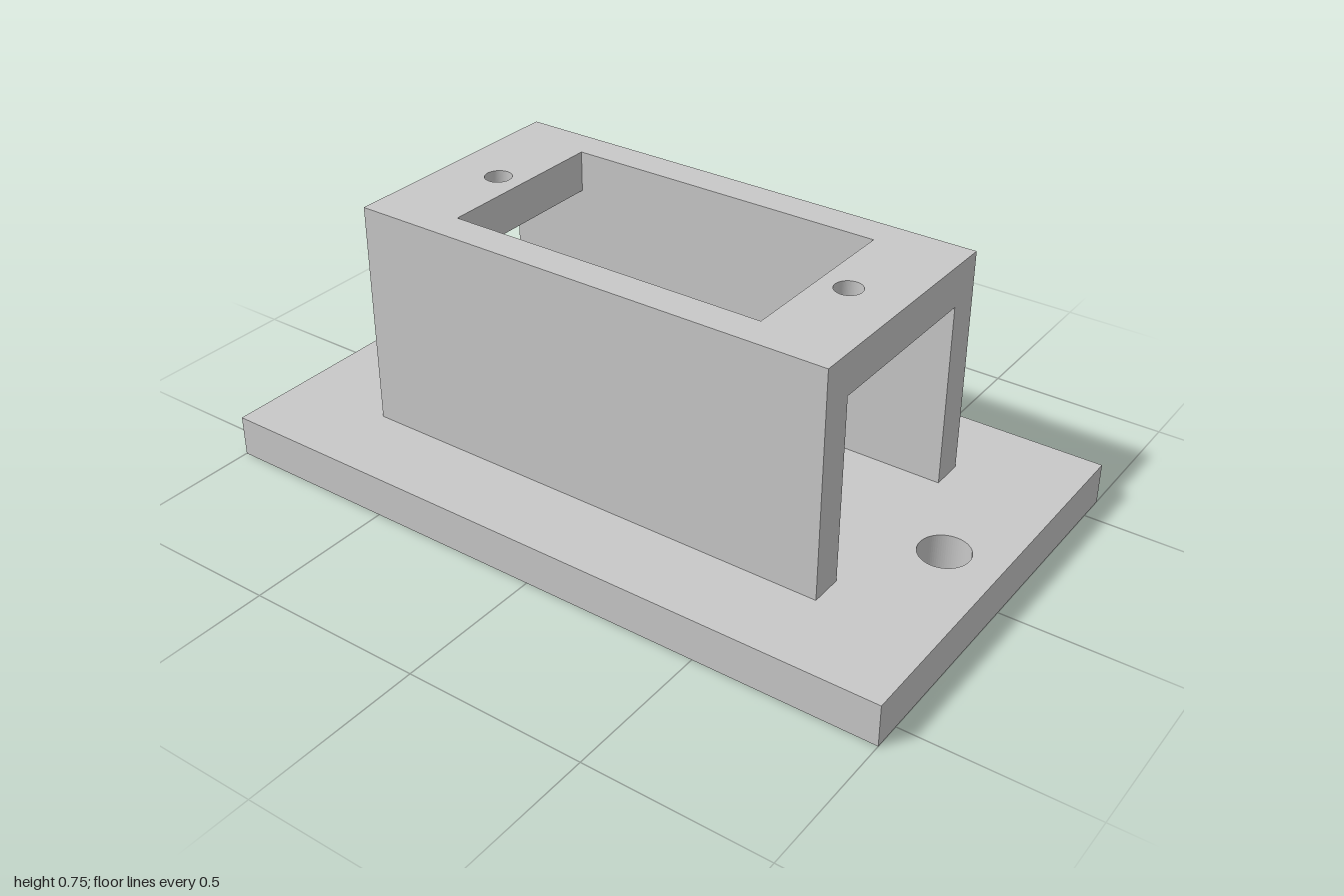
import * as THREE from 'three';

// Rectangle outline, usable as a plate or as a cut-out
function rect(path, halfX, halfZ) {
  path.moveTo(-halfX, -halfZ);
  path.lineTo(halfX, -halfZ);
  path.lineTo(halfX, halfZ);
  path.lineTo(-halfX, halfZ);
  path.closePath();
  return path;
}

function roundHole(x, radius) {
  return new THREE.Path().absarc(x, 0, radius, 0, Math.PI * 2, true);
}

// Horizontal plate with holes, from y0 up to y1
function plate(name, halfX, halfZ, y0, y1, holes, material) {
  const shape = rect(new THREE.Shape(), halfX, halfZ);
  shape.holes.push(...holes);
  const geometry = new THREE.ExtrudeGeometry(shape, {
    depth: y1 - y0, bevelEnabled: false, curveSegments: 40,
  });
  geometry.rotateX(-Math.PI / 2).translate(0, y0, 0);
  const mesh = new THREE.Mesh(geometry, material);
  mesh.name = name;
  return mesh;
}

export function createModel() {
  const model = new THREE.Group();
  model.name = 'mountingBracket';
  const grey = new THREE.MeshStandardMaterial({ color: 0xc8c8c8 });
  grey.name = 'lightGrey';

  const baseTop = 0.116, roofBottom = 0.631, roofTop = 0.746;
  const halfLength = 0.692, outerZ = 0.347, innerZ = 0.254;

  // Base with two mounting holes
  model.add(plate('basePlate', 1, 0.578, 0, baseTop,
    [roundHole(-0.845, 0.068), roundHole(0.845, 0.068)], grey));

  // Roof with rectangular opening and two screw holes
  model.add(plate('roofPlate', halfLength, outerZ, roofBottom, roofTop, [
    rect(new THREE.Path(), 0.457, innerZ),
    roundHole(-0.537, 0.037), roundHole(0.537, 0.037),
  ], grey));

  // Long side walls, open at both ends
  for (const [name, side] of [['frontWall', 1], ['backWall', -1]]) {
    const wall = new THREE.Mesh(
      new THREE.BoxGeometry(halfLength * 2, roofBottom - baseTop, outerZ - innerZ), grey);
    wall.position.set(0, (baseTop + roofBottom) / 2, side * (outerZ + innerZ) / 2);
    wall.name = name;
    model.add(wall);
  }
  return model;
}
